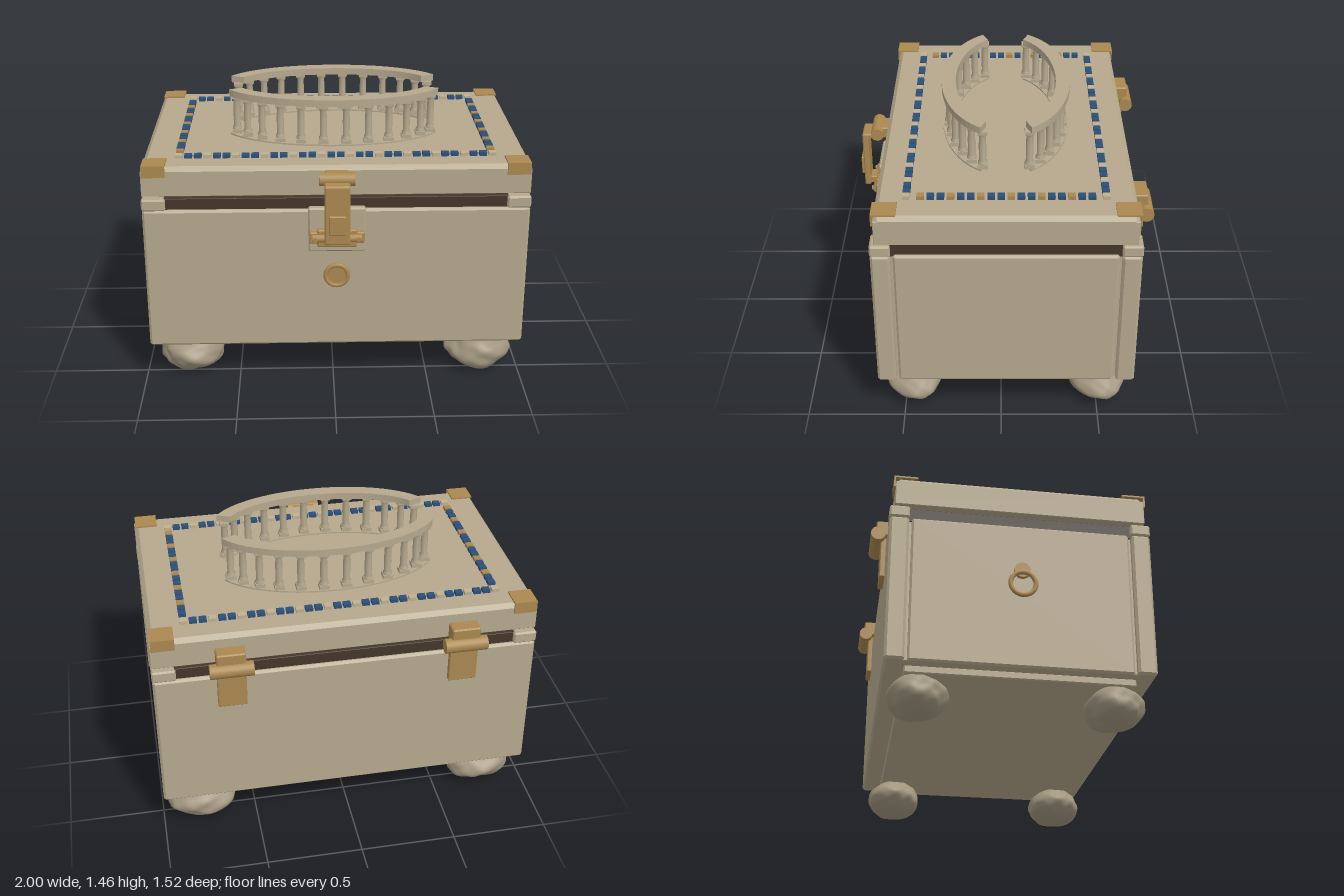
import * as THREE from 'three';
import { mergeVertices } from 'three/addons/utils/BufferGeometryUtils.js';
import { ConvexGeometry } from 'three/addons/geometries/ConvexGeometry.js';

const mat = (name, color) => Object.assign(new THREE.MeshStandardMaterial({ color }), { name });

export function createModel() {
  const stone = mat('stone', 0xb5a88d), rock = mat('rock', 0xa1967f), brass = mat('brass', 0xab8850);
  const blue = mat('blue tile', 0x2b4f78), pale = mat('pale tile', 0xbfb08f), dark = mat('dark wood', 0x44362a);
  rock.flatShading = false;

  const model = new THREE.Group();
  model.name = 'chest';
  const chest = new THREE.Group();
  chest.name = 'chestParts';
  chest.position.set(0.015, 0, -0.025);
  model.add(chest);

  const add = (name, geo, material, x = 0, y = 0, z = 0, parent = chest) => {
    const m = new THREE.Mesh(geo, material);
    m.name = name;
    m.position.set(x, y, z);
    parent.add(m);
    return m;
  };
  // Box from min/max corners with chamfered edges
  const block = (name, material, x0, x1, y0, y1, z0, z1, c = 0.006, parent = chest) => {
    const h = [(x1 - x0) / 2, (y1 - y0) / 2, (z1 - z0) / 2], pts = [];
    for (const sx of [-1, 1]) for (const sy of [-1, 1]) for (const sz of [-1, 1])
      for (let full = 0; full < 3; full++)
        pts.push(new THREE.Vector3(...[sx, sy, sz].map((s, i) => s * (h[i] - (i === full ? 0 : c)))));
    return add(name, new ConvexGeometry(pts), material, (x0 + x1) / 2, (y0 + y1) / 2, (z0 + z1) / 2, parent);
  };
  // Cylinder lying along x or z
  const rod = (name, material, r, len, x, y, z, axis, sides = 20) => {
    const g = new THREE.CylinderGeometry(r, r, len, sides);
    if (axis === 'x') g.rotateZ(Math.PI / 2); else g.rotateX(Math.PI / 2);
    return add(name, g, material, x, y, z);
  };

  // Body: base, full-width front and back slabs, recessed sides, dark rim
  block('base', stone, -0.905, 0.905, 0.185, 0.225, -0.555, 0.565);
  block('core', stone, -0.95, 0.95, 0.222, 0.98, -0.6, 0.6);
  block('rim', dark, -0.955, 0.955, 0.975, 1.045, -0.635, 0.635, 0.002);
  for (const s of [-1, 1]) {
    block(s > 0 ? 'frontSlab' : 'backSlab', stone, -0.98, 0.98, 0.22, 0.987,
      s > 0 ? 0.558 : -0.654, s > 0 ? 0.654 : -0.558, 0.012);
    block('sidePanel', stone, s > 0 ? 0.9 : -0.972, s > 0 ? 0.972 : -0.9, 0.22, 0.987, -0.545, 0.545, 0.01);
    for (const t of [-1, 1])
      block('cornerCap', stone, s > 0 ? 0.862 : -0.982, s > 0 ? 0.982 : -0.862, 0.985, 1.047,
        t > 0 ? 0.556 : -0.656, t > 0 ? 0.656 : -0.556, 0.008);
  }

  // Lid with sloped upper edge
  block('lid', stone, -0.98, 0.98, 1.056, 1.21, -0.631, 0.631, 0.022);
  block('lidSkirt', stone, -0.98, 0.98, 1.056, 1.187, -0.631, 0.631, 0.003);

  // Brass corner brackets: top plate plus front or back flange
  for (const s of [-1, 1]) for (const t of [-1, 1]) {
    add('cornerPlate', new THREE.BoxGeometry(0.118, 0.009, 0.118), brass, s * 0.915, 1.217, t * 0.58);
    add('cornerFlange', new THREE.BoxGeometry(0.118, 0.062, 0.009), brass, s * 0.915, 1.1905, t * 0.636);
  }

  // Mosaic border
  const tile = new THREE.BoxGeometry(0.038, 0.022, 0.036);
  for (const s of [-1, 1]) {
    for (let i = 0; i < 34; i++)
      add('rowTile', tile, i % 3 ? blue : pale, -0.798 + i * 0.0484, 1.217, s * 0.482);
    for (let i = 0; i < 18; i++)
      add('columnTile', tile, i % 3 === 2 ? brass : blue, s * 0.798, 1.217, -0.413 + i * 0.0486);
  }

  // Two curved balustrades
  const arcBand = (a, b, w, t0, t1, height) => {
    const shape = new THREE.Shape(), n = 28;
    for (let k = 0; k <= 2 * n + 1; k++) {
      const outer = k <= n, t = t0 + (t1 - t0) * (outer ? k : 2 * n + 1 - k) / n, d = outer ? w : -w;
      const x = (a + d) * Math.cos(t), y = (b + d) * Math.sin(t);
      if (k) shape.lineTo(x, y); else shape.moveTo(x, y);
    }
    return new THREE.ExtrudeGeometry(shape, { depth: height, bevelEnabled: false }).rotateX(-Math.PI / 2);
  };
  const v2 = (x, y) => new THREE.Vector2(x, y);
  const post = new THREE.LatheGeometry([v2(0.024, 0), v2(0.024, 0.012), v2(0.018, 0.022), v2(0.019, 0.1),
    v2(0.017, 0.155), v2(0.024, 0.165), v2(0.024, 0.18)], 14);
  const plinth = new THREE.BoxGeometry(0.052, 0.022, 0.052), cap = new THREE.BoxGeometry(0.05, 0.016, 0.05);
  const t0 = 0.385, t1 = Math.PI - t0;
  for (const s of [0, 1]) {
    const rail = new THREE.Group();
    rail.name = s ? 'frontBalustrade' : 'backBalustrade';
    rail.rotation.y = s * Math.PI;
    chest.add(rail);
    add('handrail', arcBand(0.56, 0.3, 0.037, t0, t1, 0.036), stone, 0, 1.424, 0, rail);
    add('baseRail', arcBand(0.56, 0.3, 0.034, t0, t1, 0.012), stone, 0, 1.206, 0, rail);
    for (let i = 0; i < 12; i++) {
      const t = 0.4 + (Math.PI - 0.8) * i / 11, x = 0.56 * Math.cos(t), z = -0.3 * Math.sin(t);
      add('plinth', plinth, stone, x, 1.228, z, rail);
      add('baluster', post, stone, x, 1.238, z, rail);
      add('balusterCap', cap, stone, x, 1.418, z, rail);
    }
  }

  // Rough boulder feet
  for (const sx of [-1, 1]) for (const sz of [-1, 1]) {
    let g = new THREE.IcosahedronGeometry(1, 8);
    g.deleteAttribute('normal');
    g.deleteAttribute('uv');
    g = mergeVertices(g, 1e-4);
    const p = g.attributes.position, seed = sx * 1.7 + sz * 3.1;
    for (let i = 0; i < p.count; i++) {
      const x = p.getX(i), y = p.getY(i), z = p.getZ(i);
      const r = 0.97 + 0.06 * Math.sin(3.1 * x + seed) * Math.cos(2.7 * z - seed) + 0.04 * Math.sin(5.3 * y + 4 * x + seed)
        + 0.025 * Math.sin(9 * z + 7 * x - seed) * Math.cos(8 * y);
      p.setXYZ(i, x * r * 0.178, y * r * 0.102, z * r * 0.15);
    }
    g.computeVertexNormals();
    g.computeBoundingBox();
    add('foot', g, rock, sx * 0.772, -g.boundingBox.min.y + (sx < 0 ? 0.008 : 0), sz * 0.481);
  }

  // Rear hinges
  for (const s of [-1, 1]) {
    const x = s * 0.592;
    rod('hingeBarrel', brass, 0.038, 0.218, x, 1.047, -0.696, 'x');
    block('hingeUpperLeaf', brass, x - 0.073, x + 0.073, 1.055, 1.14, -0.705, -0.62);
    block('hingeLowerLeaf', brass, x - 0.073, x + 0.073, 0.815, 1.04, -0.68, -0.65, 0.004);
  }

  // Front clasp
  block('claspBackplate', stone, -0.145, 0.145, 0.767, 1.005, 0.64, 0.682, 0.008);
  block('claspMount', brass, -0.06, 0.06, 1.13, 1.19, 0.625, 0.69);
  rod('claspBarrel', brass, 0.034, 0.178, 0, 1.163, 0.686, 'x');
  block('claspLink', brass, -0.064, 0.064, 1.125, 1.155, 0.69, 0.768);
  block('claspStrap', brass, -0.064, 0.064, 0.84, 1.15, 0.738, 0.77);
  block('claspTab', brass, -0.043, 0.043, 0.9, 1.0, 0.765, 0.785, 0.004);
  block('staplePlate', brass, -0.1, 0.1, 0.8, 0.895, 0.675, 0.705);
  block('stapleBlock', brass, -0.04, 0.04, 0.84, 0.88, 0.69, 0.745, 0.004);
  rod('staplePin', brass, 0.022, 0.25, 0, 0.85, 0.7, 'x', 14);
  for (const s of [-1, 1]) {
    block('stapleEar', brass, s * 0.118 - 0.022, s * 0.118 + 0.022, 0.82, 0.882, 0.675, 0.705);
    rod('stapleRivet', brass, 0.012, 0.012, s * 0.11, 0.85, 0.722, 'z', 12);
  }

  // Round front boss
  rod('bossDisc', brass, 0.056, 0.02, 0, 0.628, 0.662, 'z', 28);
  add('bossRim', new THREE.TorusGeometry(0.057, 0.012, 10, 32), brass, 0, 0.628, 0.668);

  // Pull ring on the right side
  rod('ringMount', brass, 0.04, 0.024, -0.981, 0.73, 0, 'x');
  add('pullRing', new THREE.TorusGeometry(0.062, 0.012, 10, 32).rotateY(Math.PI / 2), brass, -1.002, 0.65, 0);

  return model;
}
